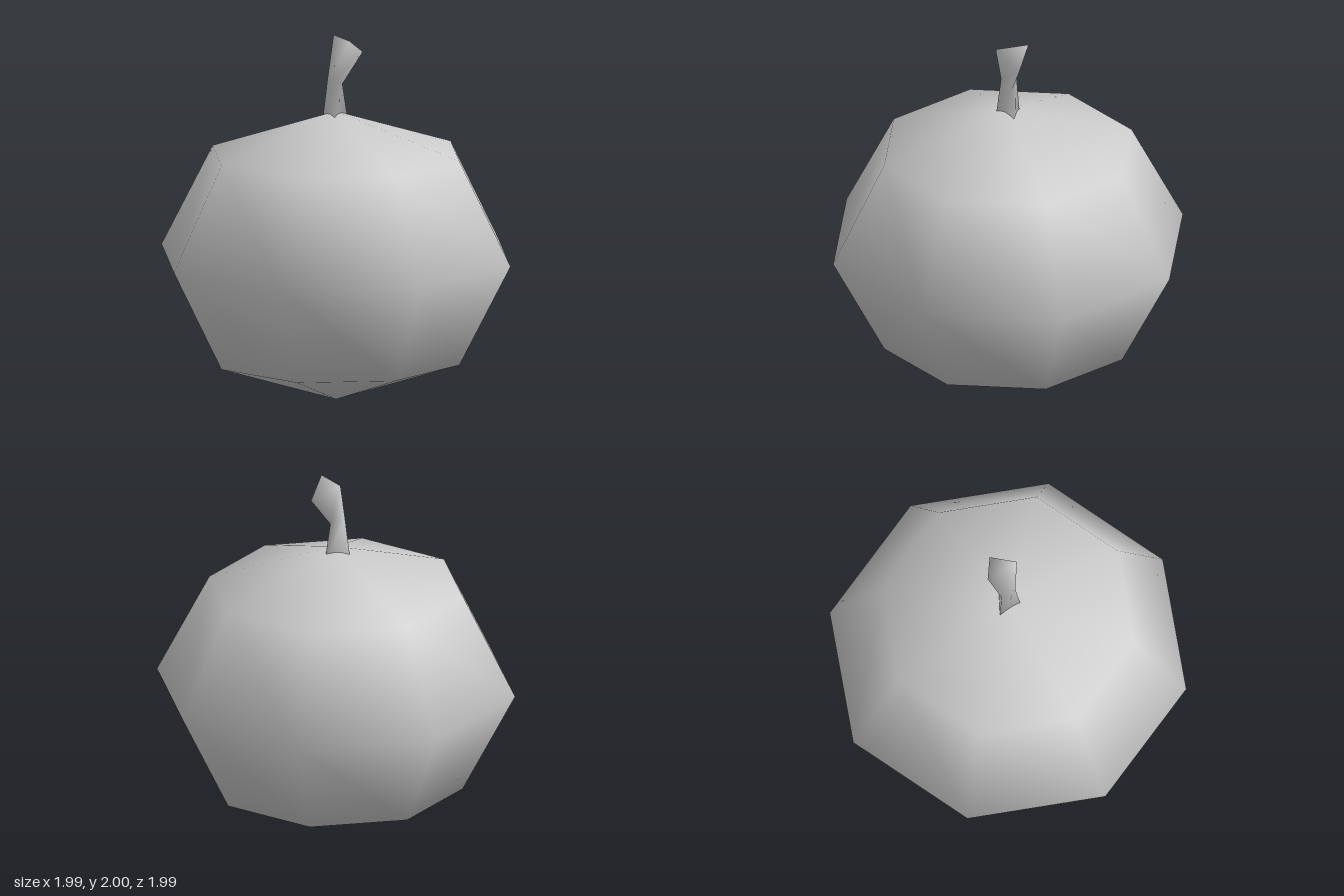
import * as THREE from 'three';

// Smooth closed three-sided tube; each ring is [leftX, leftY, rightX, rightY, halfWidth]
function threeSidedTube(rings, midZ) {
  const positions = [];
  const index = [];
  for (const [lx, ly, rx, ry, w] of rings) {
    positions.push(lx, ly, midZ - w, lx, ly, midZ + w, rx, ry, midZ);
  }
  for (let r = 0; r < rings.length - 1; r++) {
    for (let i = 0; i < 3; i++) {
      const a = r * 3 + i;
      const b = r * 3 + (i + 1) % 3;
      index.push(a, b, b + 3, a, b + 3, a + 3);
    }
  }
  const top = (rings.length - 1) * 3;
  index.push(0, 2, 1, top, top + 1, top + 2);
  const geometry = new THREE.BufferGeometry();
  geometry.setAttribute('position', new THREE.Float32BufferAttribute(positions, 3));
  geometry.setIndex(index);
  geometry.computeVertexNormals();
  return geometry;
}

export function createModel() {
  const group = new THREE.Group();
  group.name = 'fruit';
  const grey = new THREE.MeshStandardMaterial({ color: 0xcccccc });
  grey.name = 'light grey';

  // Squashed low-poly body with smooth normals
  const bodyGeometry = new THREE.SphereGeometry(1, 8, 4);
  bodyGeometry.scale(0.993, 0.8, 0.993);
  const body = new THREE.Mesh(bodyGeometry, grey);
  body.name = 'body';
  body.position.y = 0.8;
  group.add(body);

  // Bent stem: sunken base, narrow waist, flared tilted tip
  const stem = new THREE.Mesh(threeSidedTube([
    [-0.044, 1.5, 0.085, 1.5, 0.072],
    [-0.022, 1.78, 0.045, 1.745, 0.044],
    [0.04, 2.0, 0.17, 1.91, 0.094],
  ], -0.011), grey);
  stem.name = 'stem';
  group.add(stem);

  return group;
}
